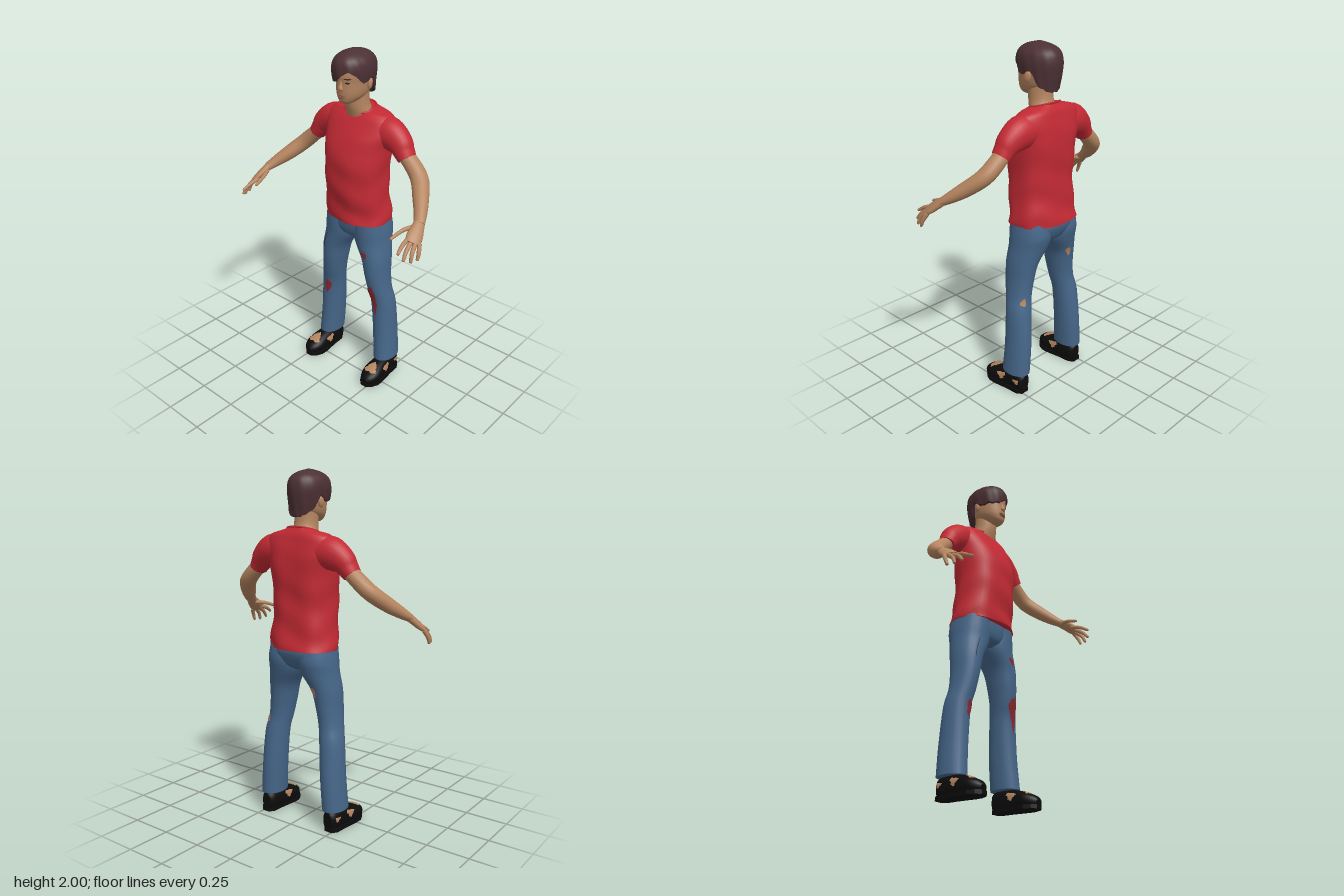
import * as THREE from 'three';

const mat = (name, color, side = THREE.FrontSide) => {
  const m = new THREE.MeshStandardMaterial({ color, side });
  m.name = name;
  return m;
};

// Smooth interpolation of every column of a small table, t in 0..1
function sample(rows, t) {
  const n = rows.length - 1, f = Math.min(Math.max(t, 0), 1) * n;
  const i = Math.min(Math.floor(f), n - 1), k = f - i;
  const at = (j) => rows[Math.min(Math.max(j, 0), n)];
  const [a, b, c, d] = [at(i - 1), at(i), at(i + 1), at(i + 2)];
  return b.map((_, j) => b[j] + 0.5 * k * (c[j] - a[j] +
    k * (2 * a[j] - 5 * b[j] + 4 * c[j] - d[j] + k * (3 * (b[j] - c[j]) + d[j] - a[j]))));
}

const pow = (c, n) => Math.sign(c) * Math.abs(c) ** n;

// Upright surface from rows [y, cx, cz, rx, rz]; u = 0 faces the front
const upright = (rows, n = 1) => (u, v, e = 0) => {
  const [y, cx, cz, rx, rz] = sample(rows, v), a = u * Math.PI * 2;
  return new THREE.Vector3(cx + (rx + e) * pow(Math.sin(a), n), y, cz + (rz + e) * pow(Math.cos(a), n));
};

// Surface along a path from rows [x, y, z, ra, rb]; u = 0 faces the ref direction
const limb = (rows, ref = [0, 1, 0], n = 1) => (u, v, e = 0) => {
  const p = sample(rows, v), a = u * Math.PI * 2;
  const p0 = sample(rows, v - 0.02), p1 = sample(rows, v + 0.02);
  const T = new THREE.Vector3(p1[0] - p0[0], p1[1] - p0[1], p1[2] - p0[2]).normalize();
  const N = new THREE.Vector3(...ref);
  N.addScaledVector(T, -T.dot(N)).normalize();
  const B = T.clone().cross(N);
  return new THREE.Vector3(p[0], p[1], p[2])
    .addScaledVector(N, (p[3] + e) * pow(Math.cos(a), n))
    .addScaledVector(B, (p[4] + e) * pow(Math.sin(a), n));
};

function toGeometry(points, index) {
  const g = new THREE.BufferGeometry().setFromPoints(points);
  g.setIndex(index);
  g.computeVertexNormals();
  return g;
}

// Closed skin of a surface function, with both ends capped
function skinOf(surf, nu = 24, nv = 24) {
  const pts = [], idx = [];
  for (let j = 0; j <= nv; j++) for (let i = 0; i < nu; i++) pts.push(surf(i / nu, j / nv));
  for (let j = 0; j < nv; j++) for (let i = 0; i < nu; i++) {
    const a = j * nu + i, b = j * nu + (i + 1) % nu;
    idx.push(a, b, a + nu, b, b + nu, a + nu);
  }
  for (const end of [0, 1]) {
    const ring = pts.slice(end * nv * nu, end * nv * nu + nu).map((p) => p.clone());
    const c = ring.reduce((s, p) => s.add(p), new THREE.Vector3()).divideScalar(nu);
    const o = pts.length;
    pts.push(...ring, c);
    for (let i = 0; i < nu; i++) {
      const k = o + (i + 1) % nu;
      if (end) idx.push(o + i, k, o + nu); else idx.push(k, o + i, o + nu);
    }
  }
  return toGeometry(pts, idx);
}

// Ragged thin patch lying on a surface
function patchOn(surf, u, v, ru, rv, rag = 0.18, e = 0.003) {
  const n = 20, rings = 4, pts = [surf(u, v, e)], idx = [];
  for (let r = 1; r <= rings; r++) for (let i = 0; i < n; i++) {
    const a = i / n * Math.PI * 2, w = (r / rings) * (1 + rag * Math.sin(3 * a + u * 40) + rag * 0.6 * Math.sin(7 * a));
    pts.push(surf(u + ru * w * Math.cos(a), v + rv * w * Math.sin(a), e));
  }
  for (let i = 0; i < n; i++) {
    const k = (i + 1) % n;
    idx.push(0, 1 + i, 1 + k);
    for (let r = 0; r < rings - 1; r++) {
      const a = 1 + r * n + i, b = 1 + r * n + k;
      idx.push(a, a + n, b, b, a + n, b + n);
    }
  }
  return toGeometry(pts, idx);
}

// Table position of a given height
function vAt(rows, y) {
  const i = Math.max(0, Math.min(rows.length - 2, rows.findIndex((r) => r[0] > y) - 1));
  return (i + (y - rows[i][0]) / (rows[i + 1][0] - rows[i][0])) / (rows.length - 1);
}

export function createModel() {
  const model = new THREE.Group();
  const skin = mat('skin', 0xb58560), red = mat('shirt red', 0xc32a34), denim = mat('denim blue', 0x46678a);
  const hairMat = mat('dark brown hair', 0x4c3034, THREE.DoubleSide), black = mat('shoe black', 0x0c0c0c);
  const stain = mat('stain red', 0x8c2a32), dark = mat('dark detail', 0x1d2530), lip = mat('lip', 0x93604c);
  const add = (name, geo, m, parent = model) => {
    const mesh = new THREE.Mesh(geo, m);
    mesh.name = name;
    parent.add(mesh);
    return mesh;
  };

  // Shirt body with soft folds, a spine groove and a collar lower at the front
  const torsoBase = upright([
    [1.03, 0, -0.115, 0.205, 0.153], [1.1, 0, -0.11, 0.2, 0.148], [1.2, 0, -0.098, 0.188, 0.152],
    [1.3, 0, -0.095, 0.188, 0.153], [1.4, 0, -0.098, 0.194, 0.155], [1.5, 0, -0.112, 0.205, 0.143],
    [1.57, 0, -0.125, 0.222, 0.12], [1.63, 0, -0.135, 0.215, 0.095], [1.66, 0, -0.14, 0.18, 0.078],
    [1.685, 0, -0.13, 0.11, 0.07], [1.697, 0, -0.122, 0.088, 0.07]], 0.88);
  const torso = (u, v, e = 0) => {
    const fade = Math.max(0, 1 - v * 1.3), a = u * Math.PI * 2;
    const fold = 0.004 * fade * Math.sin(v * 34 + 2 * Math.sin(a * 2)) + 0.003 * fade * Math.sin(a * 7);
    const spine = -0.012 * Math.exp(-(((u - 0.5) / 0.05) ** 2)) * Math.sin(Math.PI * v);
    const p = torsoBase(u, v, e + fold + spine);
    p.y -= 0.02 * (1 + Math.cos(a)) * Math.max(0, (v - 0.8) / 0.2);
    return p;
  };
  add('shirt body', skinOf(torso, 48, 50), red);
  const collar = new THREE.CatmullRomCurve3(Array.from({ length: 24 }, (_, i) => torso(i / 24, 1)), true);
  add('shirt collar', new THREE.TubeGeometry(collar, 48, 0.006, 6, true), red);

  // Hips
  add('jeans hips', skinOf(upright([[0.905, 0, -0.11, 0.05, 0.06], [0.93, 0, -0.115, 0.12, 0.1],
    [0.97, 0, -0.12, 0.19, 0.12], [1.02, 0, -0.125, 0.198, 0.13], [1.06, 0, -0.12, 0.185, 0.125]], 0.9), 32, 12), denim);

  for (const s of [1, -1]) {
    const side = s > 0 ? 'left' : 'right';
    const flip = (rows) => rows.map(([x, ...r]) => [x * s, ...r]);

    // Sleeve and arm
    add(side + ' sleeve', skinOf(limb(flip([[0.12, 1.565, -0.135, 0.09, 0.085], [0.2, 1.56, -0.135, 0.092, 0.08],
      [0.268, 1.525, -0.13, 0.074, 0.068], [0.3, 1.488, -0.125, 0.058, 0.06], [0.325, 1.455, -0.122, 0.049, 0.055]])), 24, 16), red);
    add(side + ' arm', skinOf(limb(flip([[0.29, 1.49, -0.125, 0.042, 0.045], [0.37, 1.42, -0.122, 0.045, 0.048],
      [0.43, 1.363, -0.1, 0.045, 0.049], [0.49, 1.3, -0.03, 0.041, 0.043], [0.535, 1.255, 0.03, 0.032, 0.035],
      [0.564, 1.222, 0.08, 0.022, 0.03]])), 20, 24), skin);

    // Hand
    const hand = new THREE.Group();
    hand.name = side + ' hand';
    model.add(hand);
    add('palm', skinOf(limb(flip([[0.56, 1.228, 0.07, 0.022, 0.029], [0.57, 1.207, 0.1, 0.021, 0.036],
      [0.582, 1.178, 0.14, 0.019, 0.043], [0.59, 1.157, 0.17, 0.014, 0.038]]), [0.5 * s, 1, 0]), 16, 10), skin, hand);
    const fingers = {
      thumb: [[0.55, 1.21, 0.09], [0.517, 1.2, 0.15], [0.5, 1.175, 0.226]],
      index: [[0.56, 1.175, 0.155], [0.566, 1.155, 0.22], [0.575, 1.13, 0.263]],
      middle: [[0.58, 1.165, 0.16], [0.59, 1.13, 0.217], [0.598, 1.095, 0.248]],
      ring: [[0.6, 1.155, 0.155], [0.613, 1.118, 0.198], [0.62, 1.08, 0.215]],
      little: [[0.615, 1.153, 0.14], [0.629, 1.113, 0.162], [0.631, 1.08, 0.175]],
    };
    for (const [name, [a, b, c]] of Object.entries(fingers)) {
      const tip = c.map((k, i) => k + (c[i] - b[i]) * 0.08);
      add(name + ' finger', skinOf(limb(flip([[...a, 0.013, 0.013], [...b, 0.011, 0.011],
        [...c, 0.008, 0.008], [...tip, 0.003, 0.003]])), 10, 12), skin, hand);
    }

    // Trouser leg
    const rows = [[0.12, 0.225, -0.12, 0.065, 0.09], [0.3, 0.212, -0.125, 0.066, 0.085], [0.5, 0.198, -0.117, 0.068, 0.078],
      [0.6, 0.18, -0.1, 0.066, 0.08], [0.7, 0.165, -0.095, 0.07, 0.09], [0.8, 0.15, -0.1, 0.08, 0.1],
      [0.9, 0.113, -0.114, 0.104, 0.115], [0.97, 0.105, -0.12, 0.106, 0.125], [1.05, 0.1, -0.115, 0.1, 0.12]]
      .map(([y, x, ...r]) => [y, x * s, ...r]);
    const leg = upright(rows, 0.95);
    add(side + ' trouser leg', skinOf(leg, 24, 32), denim);
    // Stains, tears and bare spots: [name, material, u, y, ru, rv]
    const marks = s > 0
      ? [['knee stain', stain, -0.015, 0.56, 0.06, 0.1], ['thigh stain', stain, 0, 0.84, 0.03, 0.025],
        ['tear', skin, 0.42, 0.58, 0.04, 0.03]]
      : [['knee stain', stain, 0.03, 0.49, 0.05, 0.035], ['seam tear', dark, -0.054, 0.83, 0.005, 0.08],
        ['tear', skin, 0.46, 0.8, 0.03, 0.035]];
    for (const [name, m, u, y, ru, rv] of marks) {
      add(side + ' ' + name, patchOn(leg, u, vAt(rows, y), ru, rv), m);
    }

    // Shoe: flat-bottomed upper, sole and bare patches
    const shoeBase = limb(flip([[0.225, 0.06, -0.197, 0.045, 0.025], [0.226, 0.06, -0.175, 0.06, 0.044],
      [0.228, 0.06, -0.1, 0.064, 0.05], [0.231, 0.056, -0.03, 0.058, 0.056], [0.235, 0.047, 0.03, 0.047, 0.061],
      [0.235, 0.038, 0.075, 0.036, 0.046], [0.234, 0.032, 0.1, 0.02, 0.024]]), [0, 1, 0], 0.85);
    const shoe = (u, v, e) => {
      const p = shoeBase(u, v, e);
      p.y = Math.max(p.y, 0.01);
      return p;
    };
    add(side + ' shoe', skinOf(shoe, 24, 20), black);
    const outline = new THREE.Shape([[-0.025, 0.2], [0.025, 0.2], [0.046, 0.17], [0.05, 0.1], [0.064, 0], [0.063, -0.04],
      [0.045, -0.08], [0.02, -0.104], [-0.02, -0.104], [-0.045, -0.08], [-0.063, -0.04], [-0.062, 0], [-0.05, 0.1], [-0.046, 0.17]]
      .map(([x, y]) => new THREE.Vector2(x, -y)));
    const sole = new THREE.ExtrudeGeometry(outline, { depth: 0.022, bevelEnabled: false });
    sole.rotateX(Math.PI / 2).translate(0.232 * s, 0.022, 0);
    add(side + ' sole', sole, black);
    for (const [u, v, ru, rv] of [[0, 0.66, 0.09, 0.1], [0.2, 0.45, 0.05, 0.07], [-0.2, 0.45, 0.05, 0.07], [-0.22 * s, 0.2, 0.03, 0.05]]) {
      add(side + ' shoe patch', patchOn(shoe, u, v, ru, rv, 0.22), skin);
    }
  }

  // Neck and head
  add('neck', skinOf(upright([[1.6, 0, -0.125, 0.08, 0.07], [1.66, 0, -0.11, 0.076, 0.074], [1.7, 0, -0.095, 0.067, 0.069],
    [1.75, 0, -0.09, 0.065, 0.068], [1.8, 0, -0.09, 0.065, 0.07]]), 24, 12), skin);
  const headRows = [[1.722, 0, -0.005, 0.022, 0.025], [1.735, 0, -0.02, 0.045, 0.054], [1.76, 0, -0.045, 0.068, 0.086],
    [1.79, 0, -0.06, 0.08, 0.104], [1.84, 0, -0.07, 0.088, 0.114], [1.88, 0, -0.07, 0.093, 0.117],
    [1.93, 0, -0.075, 0.088, 0.112], [1.965, 0, -0.075, 0.055, 0.075], [1.98, 0, -0.075, 0.02, 0.025]];
  const head = upright(headRows, 0.95);
  add('head', skinOf(head, 32, 32), skin);
  add('nose', skinOf(limb([[0, 1.86, 0.038, 0.006, 0.008], [0, 1.83, 0.043, 0.009, 0.01], [0, 1.808, 0.047, 0.012, 0.017],
    [0, 1.797, 0.044, 0.006, 0.012]], [0, 0, 1]), 12, 10), skin);
  for (const [name, y, r] of [['upper lip', 1.774, 0.006], ['lower lip', 1.764, 0.007]]) {
    add(name, new THREE.SphereGeometry(1, 16, 8).scale(0.026, r, 0.009).translate(0, y, 0.04), lip);
  }
  for (const s of [1, -1]) {
    add('eye', patchOn(head, 0.07 * s, vAt(headRows, 1.842), 0.022, 0.013, 0), dark);
    add('eyebrow', patchOn(head, 0.07 * s, vAt(headRows, 1.864), 0.034, 0.014, 0), hairMat);
    const ear = add('ear', new THREE.SphereGeometry(1, 12, 10).scale(0.012, 0.032, 0.02), skin);
    ear.position.set(0.093 * s, 1.828, -0.085);
    ear.rotation.set(-0.2, 0.35 * s, 0);
  }

  // Hair with a side-swept fringe; lower edge heights run around from front to front
  const hairRows = [[1.74, 0, -0.115, 0.075, 0.078], [1.78, -0.003, -0.09, 0.09, 0.108], [1.83, -0.006, -0.077, 0.1, 0.13],
    [1.9, -0.008, -0.075, 0.107, 0.138], [1.95, -0.008, -0.075, 0.095, 0.125], [1.982, -0.008, -0.075, 0.06, 0.085],
    [2, -0.008, -0.075, 0.012, 0.016]];
  const hairSurf = upright(hairRows, 0.97);
  const edge = [1.862, 1.89, 1.895, 1.86, 1.835, 1.86, 1.785, 1.765, 1.755, 1.755, 1.755, 1.765, 1.785, 1.86, 1.83, 1.835, 1.838, 1.842, 1.862]
    .map((y) => [y]);
  const hair = (u, v) => {
    const low = vAt(hairRows, sample(edge, u)[0] + 0.004 * Math.sin(u * 90));
    const k = Math.max(0, (v - 0.06) / 0.94);
    return hairSurf(u, low + (1 - low) * k, v < 0.03 ? -0.03 : 0.002 * Math.sin(u * 75.4 + v * 6) * (1 - v));
  };
  add('hair', skinOf(hair, 60, 32), hairMat);

  return model;
}
